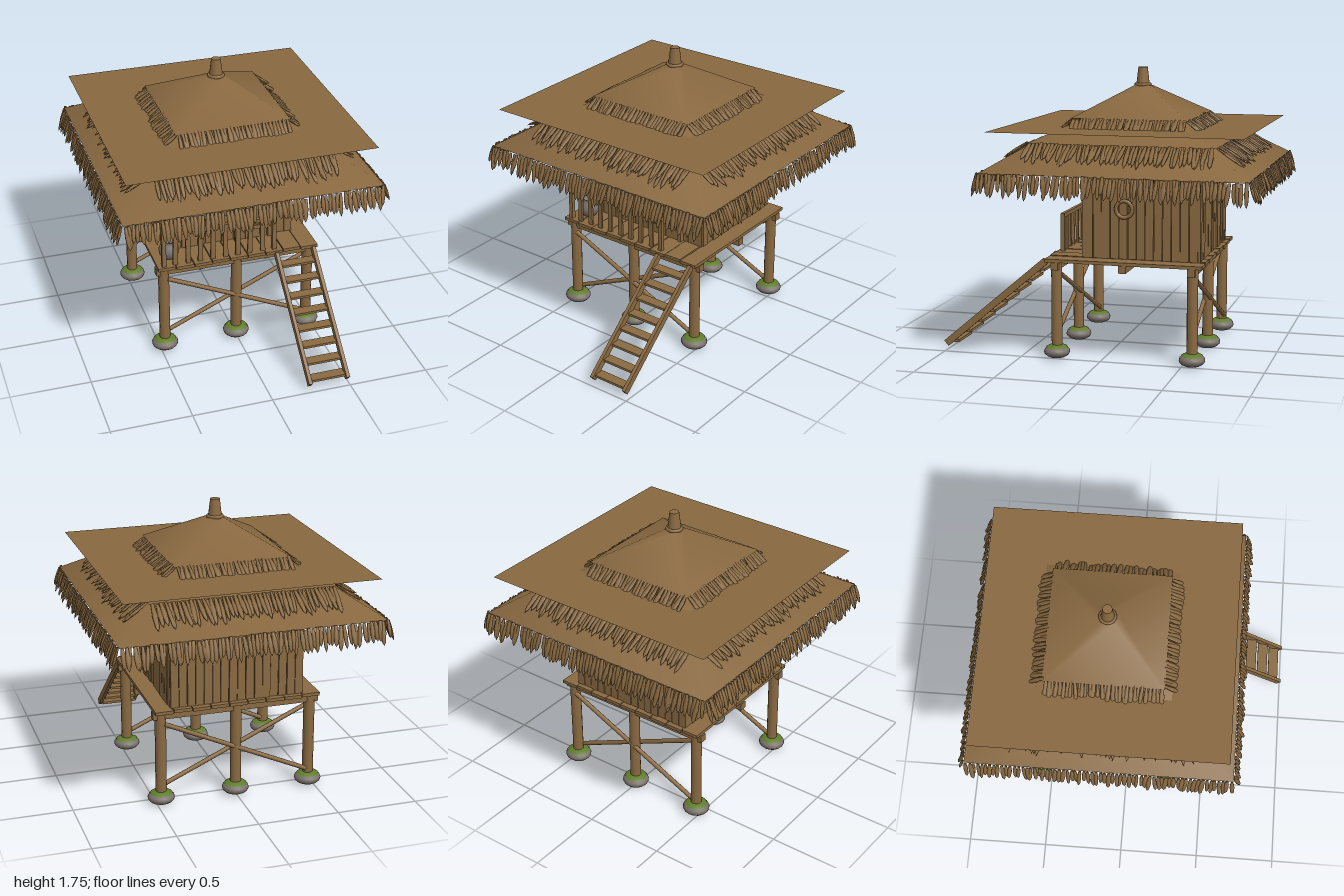
import * as THREE from 'three';
import { mergeGeometries } from 'three/addons/utils/BufferGeometryUtils.js';

const mat = (name, color, side = THREE.FrontSide) => {
  const m = new THREE.MeshStandardMaterial({ color, side });
  m.name = name;
  return m;
};

export function createModel() {
  const root = new THREE.Group();
  root.name = 'stiltHut';
  const wood = mat('wood', 0x8a6a42);
  const thatch = mat('thatch', 0x886840, THREE.DoubleSide);
  const stone = mat('stone', 0x7a716a);
  const moss = mat('moss', 0x5f7d2c);
  const clay = mat('greyClay', 0x77726c);
  const pane = mat('windowPane', 0x807c76);
  const CZ = -0.14; // centre of the roof in z

  let seed = 7;
  const rnd = () => (seed = (seed * 16807) % 2147483647) / 2147483647;
  const jit = (a) => (rnd() - 0.5) * 2 * a;

  const add = (name, geo, material, parent = root) => {
    const m = new THREE.Mesh(geo, material);
    m.name = name;
    parent.add(m);
    return m;
  };
  const group = (name) => {
    const g = new THREE.Group();
    g.name = name;
    root.add(g);
    return g;
  };
  const box = (name, w, h, d, x, y, z, parent = root, material = wood) => {
    const m = add(name, new THREE.BoxGeometry(w, h, d), material, parent);
    m.position.set(x, y, z);
    return m;
  };
  // round pole between two points
  const pole = (name, a, b, r, parent = root) => {
    const p = new THREE.Vector3(...a), q = new THREE.Vector3(...b);
    const m = add(name, new THREE.CylinderGeometry(r, r, p.distanceTo(q), 10), wood, parent);
    m.position.copy(p).add(q).multiplyScalar(0.5);
    m.quaternion.setFromUnitVectors(new THREE.Vector3(0, 1, 0), q.sub(p).normalize());
    return m;
  };

  // stilts on mossy stones
  const base = group('stilts');
  for (const z of [0.28, -0.56]) {
    for (const x of [-0.47, 0, 0.47]) {
      pole('stilt', [x, 0.05, z], [x, 0.6, z], 0.034, base);
      const rock = add('footStone', new THREE.SphereGeometry(1, 16, 10), stone, base);
      rock.scale.set(0.083, 0.042, 0.08);
      rock.position.set(x, 0.042, z);
      const cap = add('moss', new THREE.SphereGeometry(1, 16, 5, 0, Math.PI * 2, 0, 0.95), moss, base);
      cap.scale.set(0.085, 0.046, 0.082);
      cap.position.set(x, 0.042, z);
    }
    // crossed braces
    pole('brace', [-0.45, 0.52, z + 0.02], [0.45, 0.11, z + 0.02], 0.014, base);
    pole('brace', [-0.45, 0.11, z - 0.02], [0.45, 0.52, z - 0.02], 0.014, base);
  }
  for (const z of [0.28, CZ, -0.56]) box('floorBeam', 1.04, 0.045, 0.046, 0, 0.575, z, base);

  // deck planks
  const deck = group('deck');
  for (let i = 0; i < 9; i++) {
    box('deckPlank', 0.11, 0.02, 0.965 + jit(0.008), -0.46 + i * 0.115, 0.61 + jit(0.003), CZ, deck);
  }

  // plank walls
  const walls = group('walls');
  const wall = (name, length, x, z, turn) => {
    const g = new THREE.Group();
    g.name = name;
    const n = Math.round(length / 0.052), step = length / n;
    for (let i = 0; i < n; i++) {
      const p = box('wallPlank', step * 0.93, 0.53, 0.02 + rnd() * 0.01,
        -length / 2 + (i + 0.5) * step, 0.885, jit(0.004), g);
      p.rotation.z = jit(0.006);
    }
    g.position.set(x, 0, z);
    g.rotation.y = turn;
    walls.add(g);
  };
  wall('frontWall', 0.83, 0, 0.12, 0);
  wall('backWall', 0.83, 0, -0.578, Math.PI);
  wall('leftWall', 0.7, 0.402, -0.229, Math.PI / 2);
  wall('rightWall', 0.7, -0.402, -0.229, -Math.PI / 2);

  // door with frame and Z brace
  const door = group('door');
  for (let i = 0; i < 4; i++) box('doorPlank', 0.045, 0.36, 0.014, 0.077 + i * 0.048, 0.8, 0.14, door);
  for (const x of [0.04, 0.26]) box('doorPost', 0.024, 0.39, 0.04, x, 0.815, 0.14, door);
  box('doorHeader', 0.26, 0.026, 0.05, 0.15, 1.008, 0.142, door);
  for (const y of [0.7, 0.92]) box('doorBar', 0.19, 0.026, 0.014, 0.15, y, 0.153, door);
  box('doorDiagonal', 0.024, 0.27, 0.012, 0.15, 0.81, 0.153, door).rotation.z = -0.68;
  const knob = add('doorKnob', new THREE.SphereGeometry(0.014, 10, 8), wood, door);
  knob.position.set(0.215, 0.81, 0.162);

  // window with open shutters
  const win = group('window');
  box('windowPane', 0.15, 0.14, 0.008, -0.21, 0.9, 0.142, win, pane);
  for (const y of [0.83, 0.977]) box('windowRail', 0.2, 0.02, 0.04, -0.21, y, 0.145, win);
  for (const x of [-0.3, -0.12]) box('windowStile', 0.02, 0.15, 0.04, x, 0.904, 0.145, win);
  for (const [x, t] of [[-0.355, 0.3], [-0.068, -0.3]]) {
    box('shutter', 0.078, 0.15, 0.016, x, 0.9, 0.158, win).rotation.y = t;
  }

  // wreath ring on the left wall
  const ring = add('wallRing', new THREE.TorusGeometry(0.05, 0.012, 8, 24), wood);
  ring.rotation.y = Math.PI / 2;
  ring.position.set(0.425, 0.925, -0.13);

  // porch railing
  const rail = group('railing');
  box('handrail', 0.73, 0.024, 0.024, -0.12, 0.842, 0.31, rail);
  for (const x of [-0.474, 0.235]) box('railPost', 0.026, 0.23, 0.026, x, 0.735, 0.31, rail);
  for (let i = 0; i < 8; i++) {
    box('baluster', 0.03, 0.21, 0.014, -0.4 + i * 0.08, 0.725, 0.31, rail).rotation.z = jit(0.04);
  }

  // clay pot
  const potProfile = [[0, 0], [0.04, 0], [0.06, 0.03], [0.063, 0.06], [0.05, 0.092],
    [0.04, 0.102], [0.046, 0.115], [0.036, 0.115], [0.03, 0.1], [0, 0.095]];
  const pot = add('clayPot', new THREE.LatheGeometry(potProfile.map((p) => new THREE.Vector2(...p)), 20), clay);
  pot.position.set(-0.415, 0.622, 0.21);

  // ladder
  const ladder = group('ladder');
  const slope = Math.atan2(0.545, 0.64);
  for (const x of [0.242, 0.484]) {
    box('ladderRail', 0.022, 0.042, 0.85, x, 0.325, 0.668, ladder).rotation.x = slope;
  }
  for (let i = 0; i < 8; i++) {
    const t = (i + 0.65) / 8;
    box('tread', 0.23, 0.015, 0.065, 0.363, 0.585 - t * 0.545, 0.335 + t * 0.64, ladder);
  }

  // thatched roof tiers: [lower half width, lower y, upper half width, upper y]
  const roof = group('roof');
  roof.position.z = CZ;
  const tiers = [[0.8, 1.16, 0.5, 1.35], [0.57, 1.32, 0.3, 1.45], [0.36, 1.455, 0.04, 1.64]];
  for (const [w0, y0, w1, y1] of tiers) {
    const g = new THREE.CylinderGeometry(w1 * Math.SQRT2, w0 * Math.SQRT2, y1 - y0, 4, 1, true);
    g.rotateY(Math.PI / 4);
    add('thatchTier', g, thatch, roof).position.y = (y0 + y1) / 2;
  }
  const sheet = new THREE.PlaneGeometry(1.53, 1.53);
  sheet.rotateX(-Math.PI / 2);
  add('flatThatchSheet', sheet, thatch, roof).position.y = 1.4;

  // hanging leaf fringe: [half length, y, offset, strands per side, drop, outward reach]
  const leafProfile = [[0, -1], [0.011, -0.84], [0.015, -0.45], [0.009, 0], [0, 0]];
  const leaf = new THREE.LatheGeometry(leafProfile.map((p) => new THREE.Vector2(...p)), 6);
  const fringe = (name, half, y, off, n, drop, out) => {
    const parts = [];
    for (let s = 0; s < 4; s++) {
      for (let i = 0; i < n; i++) {
        const g = leaf.clone();
        g.scale(0.85 + rnd() * 0.35, Math.hypot(drop, out) * (0.75 + rnd() * 0.3), 0.6);
        g.rotateZ(jit(0.12));
        g.rotateX(-Math.atan2(out, drop) + jit(0.06));
        g.translate(-half + ((i + 0.5) * 2 * half) / n + jit(0.004), y + jit(0.006), off);
        g.rotateY((s * Math.PI) / 2);
        parts.push(g);
      }
    }
    add(name, mergeGeometries(parts), thatch, roof);
  };
  fringe('lowerFringe', 0.8, 1.162, 0.805, 66, 0.135, 0.045);
  fringe('middleFringe', 0.56, 1.32, 0.575, 46, 0.105, 0.16);
  fringe('upperFringe', 0.35, 1.453, 0.35, 32, 0.1, 0.13);

  // roof finial
  const finial = add('finial', new THREE.CylinderGeometry(0.029, 0.043, 0.12, 16), wood, roof);
  finial.position.y = 1.69;
  const collar = add('finialCollar', new THREE.TorusGeometry(0.043, 0.011, 8, 20), wood, roof);
  collar.rotation.x = Math.PI / 2;
  collar.position.y = 1.642;

  return root;
}
